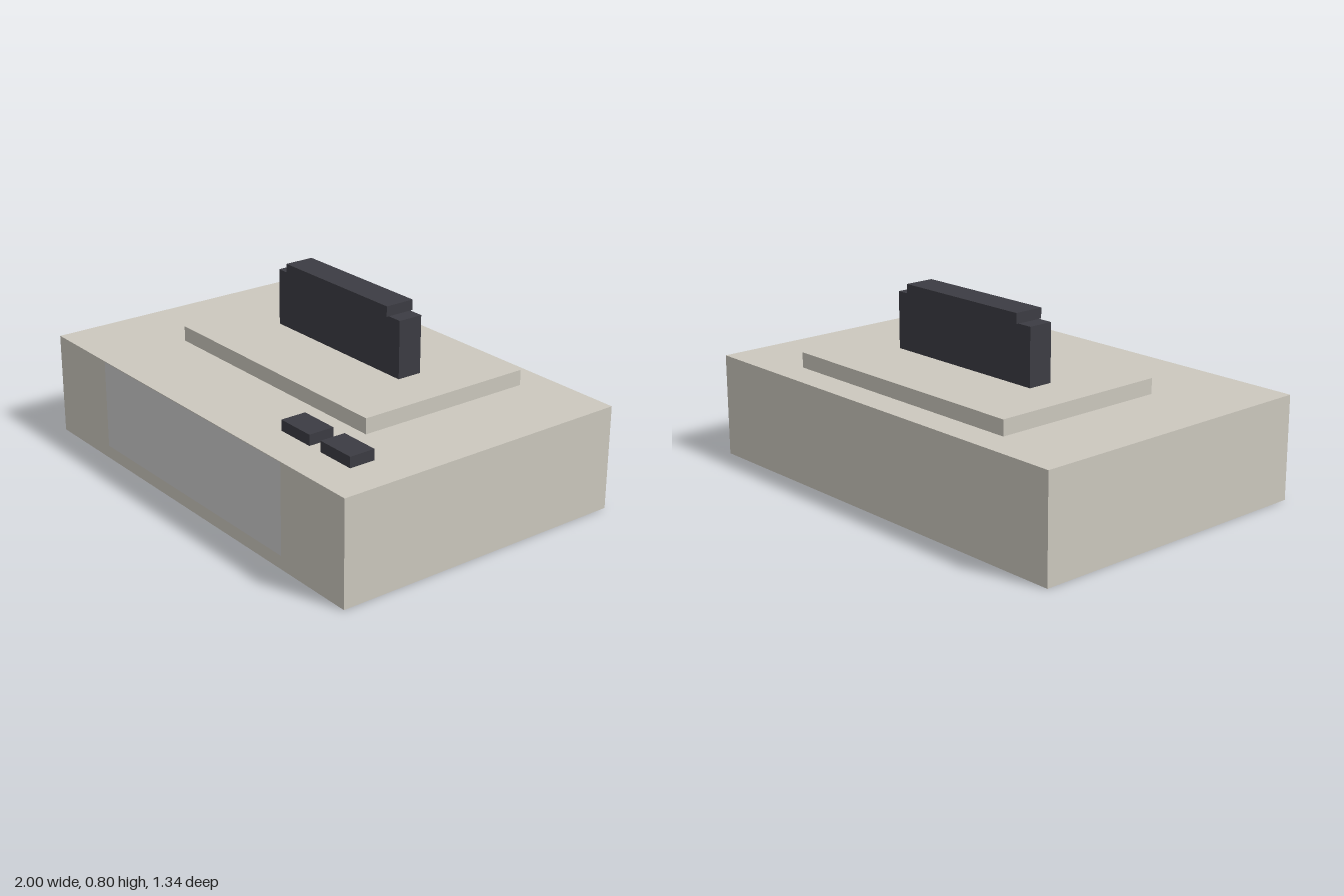
import * as THREE from 'three';

const shell = new THREE.MeshStandardMaterial({ color: 0xccc8be });
const dark = new THREE.MeshStandardMaterial({ color: 0x3c3c43 });
const grey = new THREE.MeshStandardMaterial({ color: 0xcccccc });

// Box given by its extents on each axis
function box(name, material, [x0, x1], [y0, y1], [z0, z1]) {
  const mesh = new THREE.Mesh(new THREE.BoxGeometry(x1 - x0, y1 - y0, z1 - z0), material);
  mesh.position.set((x0 + x1) / 2, (y0 + y1) / 2, (z0 + z1) / 2);
  mesh.name = name;
  return mesh;
}

export function createModel() {
  const model = new THREE.Group();
  model.name = 'console';
  const top = 0.445, deck = 0.511, front = 0.667;

  // Casing and raised deck
  model.add(box('body', shell, [-1, 1], [0, top], [-front, front]));
  model.add(box('deck', shell, [-0.622, 0.622], [top, deck], [-0.533, 0.267]));

  // Thin panel set on the front face
  const panel = new THREE.Mesh(new THREE.PlaneGeometry(1.244, 0.385), grey);
  panel.name = 'frontPanel';
  panel.position.set(0, 0.25, front + 0.001);
  model.add(panel);

  // Upright cartridge with its grip
  model.add(box('cartridge', dark, [-0.4, 0.4], [deck, 0.758], [-0.189, -0.078]));
  model.add(box('cartridgeGrip', dark, [-0.333, 0.333], [0.758, 0.802], [-0.2, -0.067]));

  // Two push buttons at the front left
  for (const x of [0.488, 0.732]) {
    model.add(box('button', dark, [x - 0.088, x + 0.088], [top, 0.491], [0.387, 0.5]));
  }
  return model;
}
